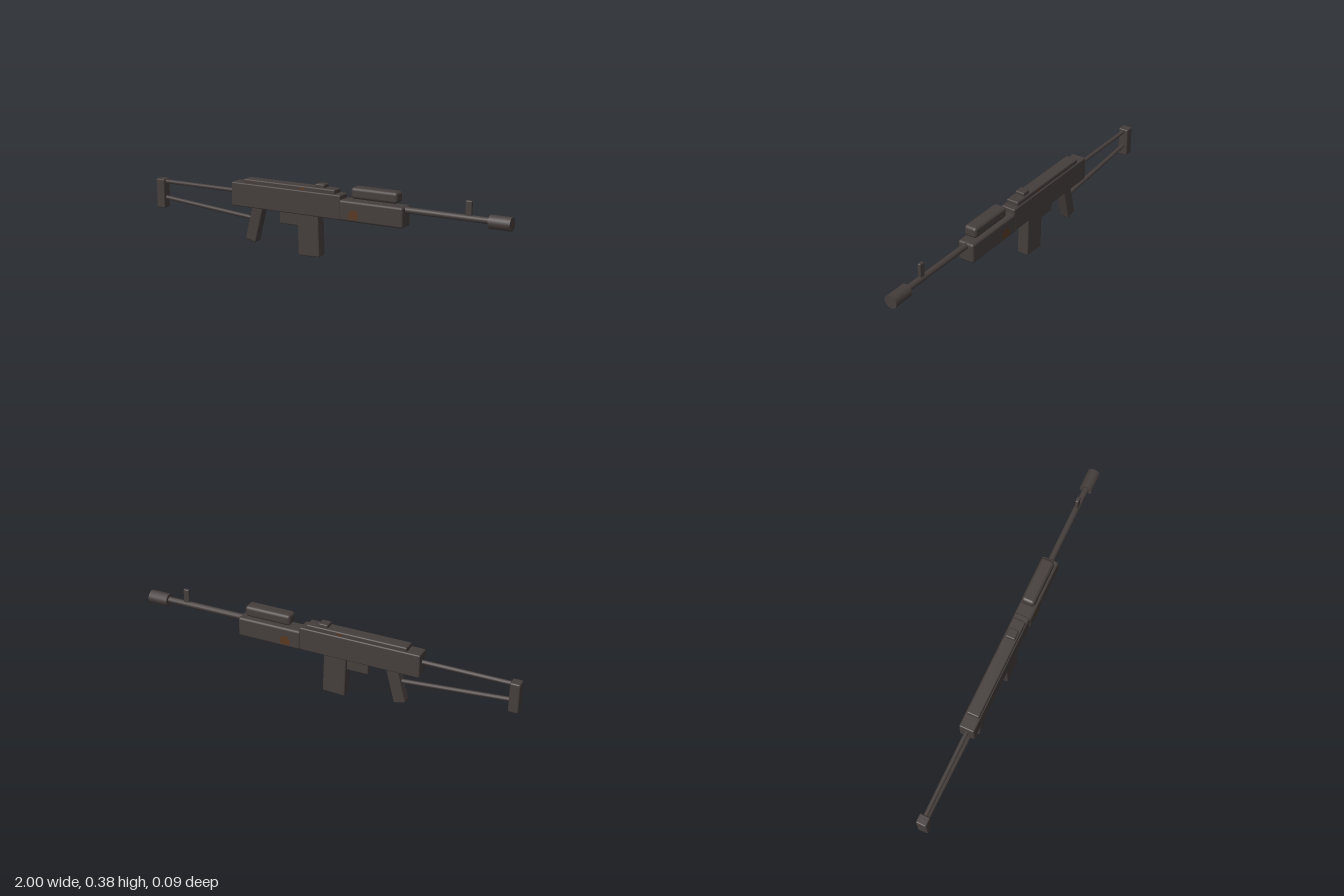
import * as THREE from 'three';
import { RoundedBoxGeometry } from 'three/addons/geometries/RoundedBoxGeometry.js';

export function createModel() {
  const model = new THREE.Group();
  const metal = new THREE.MeshStandardMaterial({ name: 'darkMetal', color: 0x443d3b });
  const rust = new THREE.MeshStandardMaterial({ name: 'rust', color: 0x573820 });

  function add(name, geometry, x, y, z = 0, material = metal) {
    const mesh = new THREE.Mesh(geometry, material);
    mesh.name = name;
    mesh.position.set(x, y, z);
    model.add(mesh);
    return mesh;
  }

  // Softly bevelled block given by its limits in x and y and its width in z
  function block(name, x0, x1, y0, y1, width, bevel = 0.007) {
    const geometry = new RoundedBoxGeometry(x1 - x0, y1 - y0, width, 2, bevel);
    return add(name, geometry, (x0 + x1) / 2, (y0 + y1) / 2);
  }

  // Round bar between two points in the x-y plane
  function rod(name, x0, y0, x1, y1, radius, sides = 12) {
    const geometry = new THREE.CylinderGeometry(radius, radius, Math.hypot(x1 - x0, y1 - y0), sides);
    const mesh = add(name, geometry, (x0 + x1) / 2, (y0 + y1) / 2);
    mesh.rotation.z = Math.atan2(y1 - y0, x1 - x0) - Math.PI / 2;
    return mesh;
  }

  // Skeleton stock
  block('buttPlate', -1, -0.95, 0.142, 0.298, 0.054);
  rod('upperStockBar', -0.97, 0.283, -0.49, 0.283, 0.011);
  rod('lowerStockBar', -0.97, 0.198, -0.41, 0.152, 0.011);

  // Body and top cover
  block('receiver', -0.51, 0.125, 0.212, 0.335, 0.078);
  block('topCover', -0.44, 0.09, 0.315, 0.357, 0.066);
  block('rearSight', -0.022, 0.028, 0.34, 0.375, 0.05, 0.006);

  // Fore end
  block('handguard', 0.12, 0.465, 0.211, 0.314, 0.088, 0.012);
  block('upperHandguard', 0.18, 0.43, 0.324, 0.381, 0.07, 0.016);

  // Barrel
  rod('barrel', 0.44, 0.296, 0.92, 0.296, 0.016);
  rod('muzzle', 0.893, 0.293, 1, 0.293, 0.034);
  block('frontSight', 0.77, 0.802, 0.296, 0.38, 0.018, 0.006);

  // Grip, trigger housing and magazine
  const grip = block('grip', -0.414, -0.352, 0.035, 0.235, 0.05);
  grip.rotation.z = -0.25;
  block('triggerHousing', -0.235, -0.11, 0.147, 0.213, 0.03, 0.006);
  const magazine = block('magazine', -0.121, -0.001, 0.003, 0.235, 0.062);
  magazine.rotation.z = 0.035;

  // Rust patches on both sides of the handguard and the cover
  const patchShape = new THREE.Shape([
    [-0.026, -0.024], [0.022, -0.024], [0.028, 0.004], [0.012, 0.023], [-0.012, 0.023], [-0.028, 0.004],
  ].map(([x, y]) => new THREE.Vector2(x, y)));
  const patchGeometry = new THREE.ShapeGeometry(patchShape);
  for (const side of [1, -1]) {
    const spots = [
      add('handguardRust', patchGeometry, 0.202, 0.248, side * 0.0445, rust),
      add('coverRust', patchGeometry, -0.09, 0.344, side * 0.0335, rust),
    ];
    spots[1].scale.set(0.6, 0.25, 1);
    if (side < 0) spots.forEach((spot) => { spot.rotation.y = Math.PI; });
  }

  return model;
}
